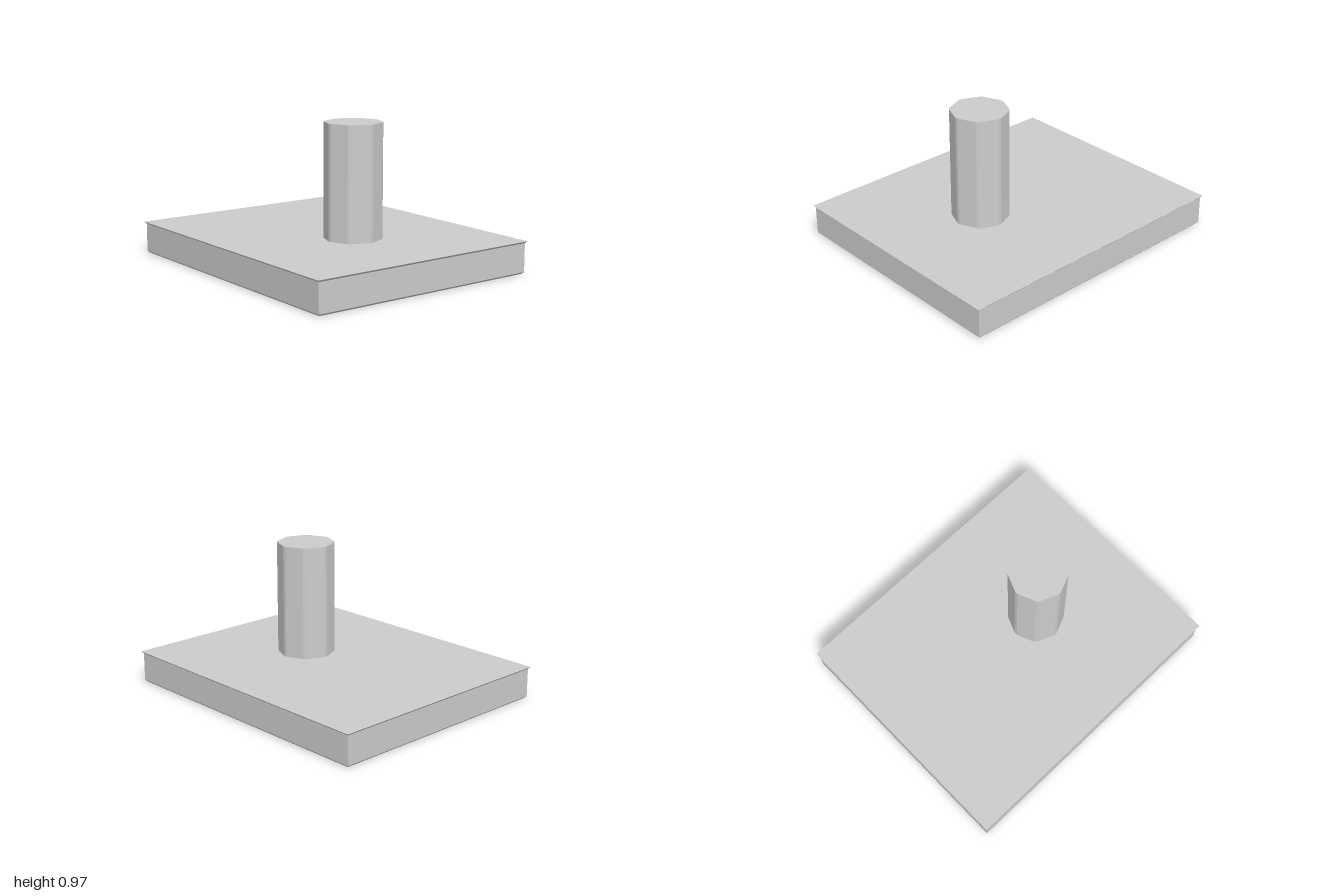
import * as THREE from 'three';

// Closed prism-like solid lofted through equal-length rings of points (counter-clockwise seen from above)
function loft(rings) {
  const pos = [];
  const tri = (a, b, c) => pos.push(...a, ...b, ...c);
  const n = rings[0].length;
  for (let r = 0; r < rings.length - 1; r++) {
    for (let i = 0; i < n; i++) {
      const j = (i + 1) % n;
      const [lo, hi] = [rings[r], rings[r + 1]];
      tri(lo[i], lo[j], hi[j]);
      tri(lo[i], hi[j], hi[i]);
    }
  }
  const bottom = rings[0], top = rings[rings.length - 1];
  for (let i = 1; i < n - 1; i++) {
    tri(bottom[0], bottom[i + 1], bottom[i]);
    tri(top[0], top[i], top[i + 1]);
  }
  const g = new THREE.BufferGeometry();
  g.setAttribute('position', new THREE.Float32BufferAttribute(pos, 3));
  g.computeVertexNormals();
  return g;
}

export function createModel() {
  const model = new THREE.Group();
  const grey = new THREE.MeshStandardMaterial({ color: 0xcccccc });
  grey.name = 'light grey';

  // Slab: chamfered foot, straight walls, slightly flared top lip
  const rect = (x, z, y) => [[x, y, z], [x, y, -z], [-x, y, -z], [-x, y, z]];
  const slab = new THREE.Mesh(loft([
    rect(0.975, 0.803, 0),
    rect(0.988, 0.815, 0.013),
    rect(0.988, 0.815, 0.202),
    rect(1, 0.828, 0.215),
  ]), grey);
  slab.name = 'baseSlab';
  model.add(slab);

  // Column: octagon with narrow bevels on its corners
  const octagon = (y) => {
    const ring = [];
    for (let i = 0; i < 8; i++) {
      for (const offset of [-0.055, 0.055]) {
        const a = i * Math.PI / 4 + offset;
        ring.push([0.19 * Math.cos(a), y, -0.19 * Math.sin(a)]);
      }
    }
    return ring;
  };
  const column = new THREE.Mesh(loft([octagon(0.2), octagon(0.968)]), grey);
  column.name = 'column';
  column.position.x = 0.255;
  model.add(column);

  return model;
}
